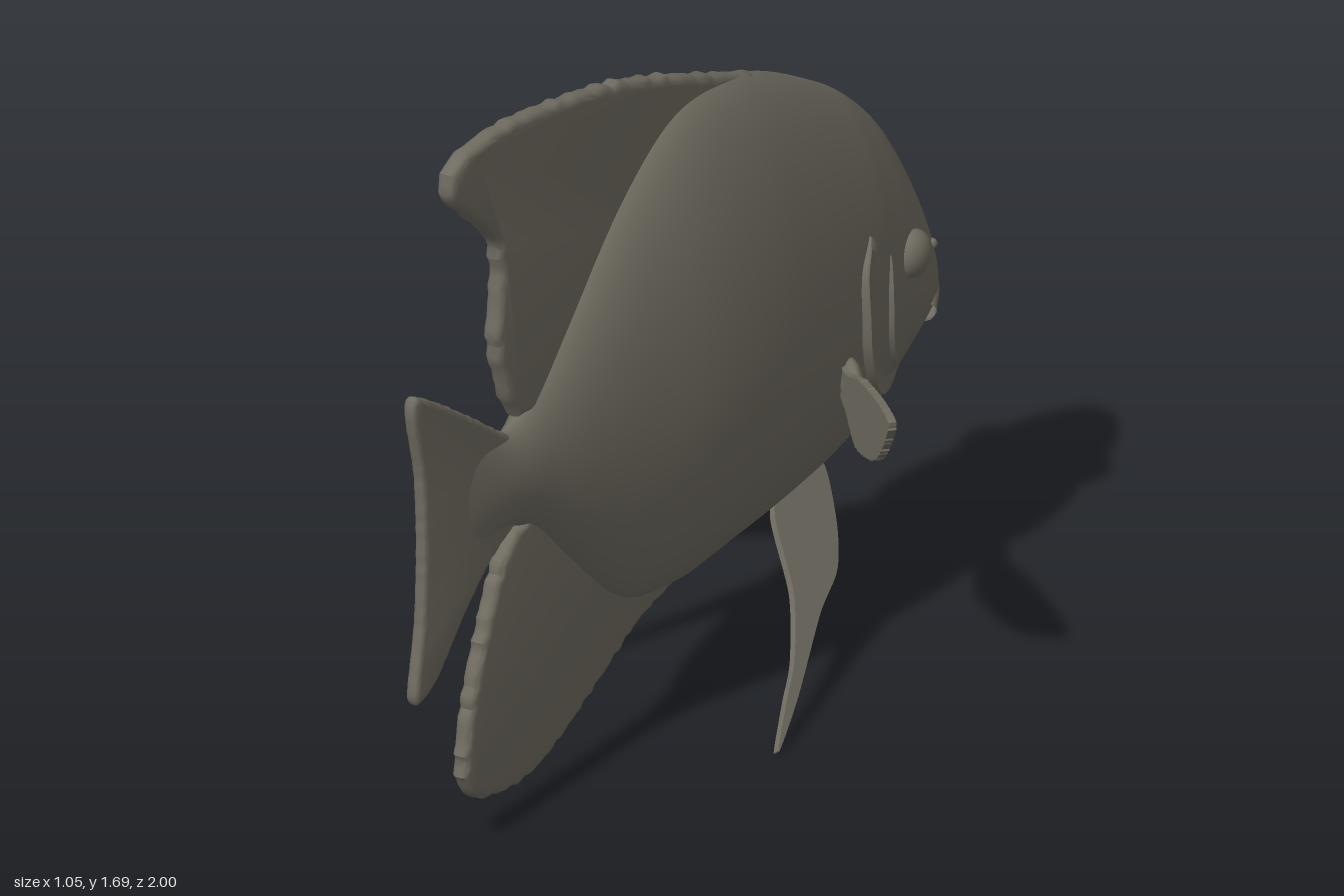
import * as THREE from 'three';
import { toCreasedNormals } from 'three/addons/utils/BufferGeometryUtils.js';

const V = (x, y, z) => new THREE.Vector3(x, y, z);

// Body stations: z, bottom, top, half width, height of widest point
const STATIONS = [
  [-0.985, 0.635, 0.66, 0.01, 0.645], [-0.95, 0.575, 0.79, 0.085, 0.66],
  [-0.9, 0.53, 0.93, 0.115, 0.69], [-0.8, 0.46, 1.1, 0.142, 0.74],
  [-0.7, 0.405, 1.2, 0.155, 0.77], [-0.6, 0.36, 1.27, 0.165, 0.79],
  [-0.4, 0.335, 1.38, 0.177, 0.8], [-0.2, 0.32, 1.45, 0.18, 0.82],
  [0, 0.31, 1.45, 0.165, 0.83], [0.2, 0.36, 1.33, 0.13, 0.83],
  [0.4, 0.54, 1.13, 0.09, 0.83], [0.52, 0.66, 1.01, 0.062, 0.83],
  [0.62, 0.71, 0.945, 0.042, 0.83], [0.75, 0.7, 0.97, 0.022, 0.83],
  [0.86, 0.7, 0.97, 0.004, 0.83],
];
const heights = new THREE.CatmullRomCurve3(STATIONS.map(s => V(s[0], s[1], s[2])), false, 'catmullrom');
const widths = new THREE.CatmullRomCurve3(STATIONS.map(s => V(s[0], s[3], s[4])), false, 'catmullrom');

function station(t) {
  const h = heights.getPoint(t), w = widths.getPoint(t);
  return { z: h.x, bottom: h.y, top: h.z, w: w.y, mid: w.z };
}

// Half width of the body at a given z and height
function surfaceX(z, y) {
  let lo = 0, hi = 1;
  for (let i = 0; i < 24; i++) {
    const m = (lo + hi) / 2;
    if (heights.getPoint(m).x < z) lo = m; else hi = m;
  }
  const s = station(lo);
  const k = (y - s.mid) / (y > s.mid ? s.top - s.mid : s.mid - s.bottom);
  return s.w * Math.pow(Math.max(0, 1 - k * k), 0.575);
}

// Skin over a list of equal closed rings
function loft(rings) {
  const n = rings[0].length, index = [];
  for (let i = 0; i < rings.length - 1; i++) {
    for (let j = 0; j < n; j++) {
      const a = i * n + j, b = i * n + (j + 1) % n;
      index.push(a, b, a + n, b, b + n, a + n);
    }
  }
  const g = new THREE.BufferGeometry().setFromPoints(rings.flat());
  g.setIndex(index);
  g.computeVertexNormals();
  return g;
}

function bodyGeometry() {
  const rings = [];
  for (let i = 0; i <= 90; i++) {
    const s = station(i / 90), ring = [];
    for (let j = 0; j < 48; j++) {
      const a = j / 48 * Math.PI * 2, c = Math.cos(a), k = Math.sin(a);
      const x = s.w * Math.sign(c) * Math.pow(Math.abs(c), 1.15);
      ring.push(V(x, s.mid + k * (k > 0 ? s.top - s.mid : s.mid - s.bottom), s.z));
    }
    rings.push(ring);
  }
  return loft(rings);
}

// Thin fin from a smooth closed outline, laid into the plane of the u and v axes
function finGeometry(points, u, v, origin, thick, bevel, ripple = 0) {
  const curve = new THREE.CatmullRomCurve3(points.map(p => V(p[0], p[1], 0)), true, 'catmullrom', 0.4);
  const outline = curve.getSpacedPoints(150).slice(0, -1);
  const centre = outline.reduce((s, p) => s.add(p), V(0, 0, 0)).divideScalar(outline.length);
  outline.forEach((p, i) => {
    const out = p.clone().sub(centre).normalize();
    p.addScaledVector(out, ripple * Math.sin(i * 2.1) * Math.sin(i * 0.37));
  });
  const shape = new THREE.Shape(outline.map(p => new THREE.Vector2(p.x, p.y)));
  const g = new THREE.ExtrudeGeometry(shape, {
    depth: thick - 2 * bevel, bevelEnabled: bevel > 0, bevelThickness: bevel,
    bevelSize: bevel, bevelOffset: -bevel, bevelSegments: 3,
  });
  g.translate(0, 0, -(thick - 2 * bevel) / 2);
  const w = u.clone().cross(v).normalize();
  g.applyMatrix4(new THREE.Matrix4().makeBasis(u, v, w).setPosition(origin));
  return toCreasedNormals(g, 0.7);
}

// Raised gill lip following the side of the head; points are [z, y]
function gillGeometry(points, lift) {
  const curve = new THREE.CatmullRomCurve3(points.map(p => V(0, p[1], p[0])));
  const at = (p, k, d) => {
    const z = -0.8 + (p.z + 0.8) * k, y = 0.72 + (p.y - 0.72) * k;
    return V(surfaceX(z, y) + d, y, z);
  };
  const rings = curve.getPoints(36).map((p, i) => {
    const h = lift * Math.pow(Math.sin(Math.PI * (i + 1) / 38), 0.5);
    return [at(p, 0.8, -0.004), at(p, 0.99, h), at(p, 1.0, h * 0.8), at(p, 0.99, -0.015)];
  });
  return toCreasedNormals(loft(rings), 0.8);
}

export function createModel() {
  const model = new THREE.Group();
  model.name = 'fish';
  const skin = new THREE.MeshStandardMaterial({ color: 0x6f6b60, side: THREE.DoubleSide });
  skin.name = 'grey olive skin';
  const add = (name, geometry, parent = model) => {
    const m = new THREE.Mesh(geometry, skin);
    m.name = name;
    parent.add(m);
    return m;
  };

  add('body', bodyGeometry());

  // Upright fins on the centre line, outlines in [z, y]
  const zAxis = V(0, 0, 1), yAxis = V(0, 1, 0), zero = V(0, 0, 0);
  add('dorsalFin', finGeometry([
    [-0.6, 1.23], [-0.4, 1.375], [-0.2, 1.46], [0, 1.54], [0.2, 1.61], [0.4, 1.655], [0.6, 1.69],
    [0.72, 1.695], [0.83, 1.68], [0.86, 1.61], [0.78, 1.53], [0.68, 1.43], [0.66, 1.33],
    [0.675, 1.18], [0.64, 1.06], [0.6, 0.98], [0.5, 0.955], [0.3, 0.95], [-0.1, 1.1], [-0.45, 1.15],
  ], zAxis, yAxis, zero, 0.046, 0.016, 0.007));
  add('analFin', finGeometry([
    [-0.15, 0.34], [0, 0.305], [0.12, 0.275], [0.2, 0.235], [0.4, 0.135], [0.52, 0.09], [0.63, 0.085],
    [0.75, 0.115], [0.8, 0.19], [0.775, 0.35], [0.72, 0.5], [0.66, 0.63], [0.6, 0.69],
    [0.5, 0.72], [0.3, 0.75], [0, 0.55],
  ], zAxis, yAxis, zero, 0.042, 0.015, 0.006));
  add('tailFin', finGeometry([
    [0.5, 0.92], [0.62, 0.94], [0.75, 1.03], [0.88, 1.12], [0.985, 1.18], [0.998, 1.13], [0.965, 0.98],
    [0.955, 0.8], [0.963, 0.62], [0.99, 0.46], [0.97, 0.435], [0.9, 0.47], [0.8, 0.575],
    [0.7, 0.66], [0.6, 0.71], [0.5, 0.74],
  ], zAxis, yAxis, zero, 0.032, 0.012, 0.002));

  // Paired parts, built on the left and mirrored
  const pectoral = finGeometry([
    [0.13, 0.69], [0.2, 0.69], [0.3, 0.745], [0.42, 0.785], [0.51, 0.8], [0.517, 0.775], [0.45, 0.67],
    [0.38, 0.61], [0.27, 0.565], [0.2, 0.6], [0.13, 0.62],
  ], V(1, 0, 1), yAxis, V(0, 0, -0.63), 0.018, 0, 0.003);
  const pelvic = finGeometry([
    [-0.56, 0.38], [-0.5, 0.28], [-0.42, 0.21], [-0.3, 0.165], [-0.1, 0.07], [0.05, 0.01],
    [-0.06, 0.075], [-0.15, 0.125], [-0.26, 0.22], [-0.34, 0.35], [-0.45, 0.4],
  ], zAxis, V(-0.78, 1, 0), V(0.333, 0, 0), 0.016, 0);
  const gillCover = gillGeometry([
    [-0.575, 0.95], [-0.53, 0.88], [-0.525, 0.78], [-0.54, 0.68], [-0.6, 0.57], [-0.69, 0.51], [-0.8, 0.5],
  ], 0.024);
  const cheekPlate = gillGeometry([
    [-0.655, 0.87], [-0.645, 0.78], [-0.655, 0.68], [-0.69, 0.6], [-0.73, 0.55],
  ], 0.014);
  for (const side of [1, -1]) {
    const half = new THREE.Group();
    half.name = side > 0 ? 'leftSide' : 'rightSide';
    half.scale.x = side;
    model.add(half);
    add('pectoralFin', pectoral, half);
    const root = add('pectoralFinRoot', new THREE.SphereGeometry(1, 20, 14), half);
    root.scale.set(0.025, 0.055, 0.07);
    root.position.set(0.18, 0.645, -0.47);
    root.rotation.y = Math.PI / 4;
    add('pelvicFin', pelvic, half);
    add('gillCover', gillCover, half);
    add('cheekPlate', cheekPlate, half);
    const eye = add('eye', new THREE.SphereGeometry(1, 24, 16), half);
    eye.scale.set(0.04, 0.055, 0.055);
    eye.position.set(0.138, 0.82, -0.77);
    const nostril = add('nostril', new THREE.SphereGeometry(0.012, 10, 8), half);
    nostril.position.set(surfaceX(-0.9, 0.78), 0.78, -0.9);
  }

  // Lips wrapping the snout
  for (const [name, y, z, r] of [['upperLip', 0.67, -0.97, 0.026], ['lowerLip', 0.615, -0.955, 0.024]]) {
    const path = new THREE.CatmullRomCurve3([
      V(-0.1, 0.625, -0.88), V(-0.065, y - 0.01, z + 0.03), V(0, y, z),
      V(0.065, y - 0.01, z + 0.03), V(0.1, 0.625, -0.88),
    ]);
    add(name, new THREE.TubeGeometry(path, 32, r, 12));
  }
  return model;
}
